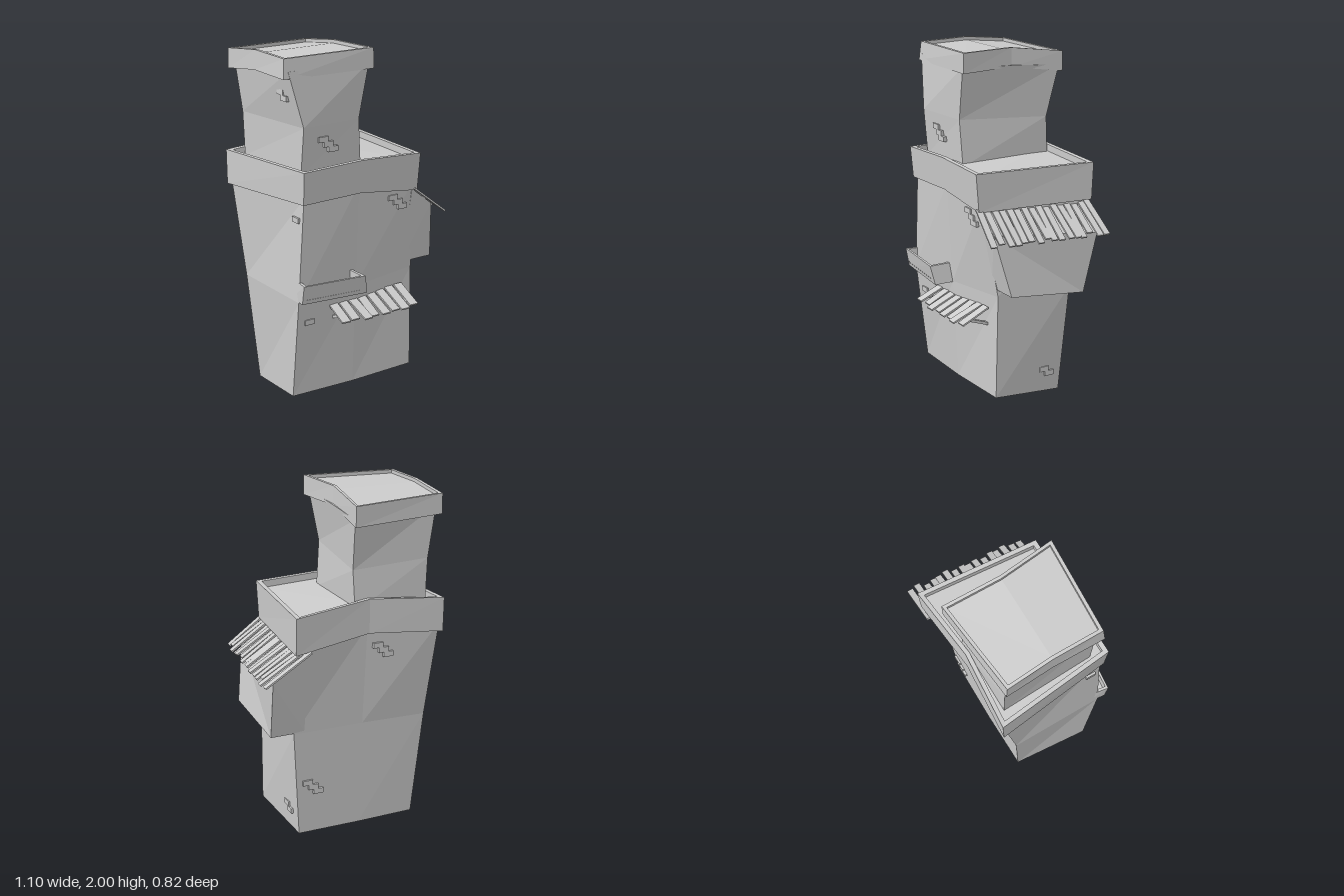
import * as THREE from 'three';

const mat = new THREE.MeshStandardMaterial({ color: 0xcccccc, flatShading: true });

// Closed skin over rings of [x, y, z]; each ring runs counterclockwise seen from the end it grows towards
function loft(name, rings) {
  const pos = [], n = rings[0].length;
  const tri = (a, b, c) => pos.push(...a, ...b, ...c);
  for (let i = 0; i < rings.length - 1; i++) {
    for (let j = 0; j < n; j++) {
      const k = (j + 1) % n, lo = rings[i], hi = rings[i + 1];
      tri(lo[j], lo[k], hi[k]);
      tri(lo[j], hi[k], hi[j]);
    }
  }
  const first = rings[0], last = rings[rings.length - 1];
  for (let j = 1; j < n - 1; j++) {
    tri(first[0], first[j + 1], first[j]);
    tri(last[0], last[j], last[j + 1]);
  }
  const geo = new THREE.BufferGeometry();
  geo.setAttribute('position', new THREE.Float32BufferAttribute(pos, 3));
  geo.computeVertexNormals();
  const mesh = new THREE.Mesh(geo, mat);
  mesh.name = name;
  return mesh;
}

// Ring pulled inwards by d in x and z, and shifted by dy
function inset(ring, d, dy = 0) {
  const xs = ring.map(p => p[0]), zs = ring.map(p => p[2]);
  const x0 = Math.min(...xs), x1 = Math.max(...xs), z0 = Math.min(...zs), z1 = Math.max(...zs);
  const cx = (x0 + x1) / 2, cz = (z0 + z1) / 2;
  const sx = 1 - 2 * d / (x1 - x0), sz = 1 - 2 * d / (z1 - z0);
  return ring.map(([x, y, z]) => [cx + (x - cx) * sx, y + dy, cz + (z - cz) * sz]);
}

// Hollow-topped tray or parapet
const tray = (name, bottom, top, wall, depth) =>
  loft(name, [bottom, top, inset(top, wall), inset(top, wall, -depth)]);

// Flat board from a to b
function plank(name, a, b, width, thick) {
  const from = new THREE.Vector3(...a), to = new THREE.Vector3(...b);
  const mesh = new THREE.Mesh(new THREE.BoxGeometry(width, thick, from.distanceTo(to)), mat);
  mesh.position.copy(from).add(to).multiplyScalar(0.5);
  mesh.lookAt(to);
  mesh.name = name;
  return mesh;
}

// Staggered patch of raised bricks; turn swings it to face another side
function bricks(x, y, z, turn, count) {
  const g = new THREE.Group();
  g.name = 'brickPatch';
  [[0, 0], [-0.035, 0.03], [0.03, -0.03]].slice(0, count).forEach(([dx, dy]) => {
    const b = new THREE.Mesh(new THREE.BoxGeometry(0.06, 0.03, 0.025), mat);
    b.position.set(dx, dy, 0);
    b.name = 'brick';
    g.add(b);
  });
  g.position.set(x, y, z);
  g.rotation.y = turn;
  return g;
}

export function createModel() {
  const model = new THREE.Group();
  model.name = 'crookedTower';

  // Main body: back middle, back right, front right, front middle, front left, back left
  model.add(loft('body', [
    [[-0.1, 0.005, -0.235], [-0.45, 0.005, -0.23], [-0.5, 0.055, 0.22], [-0.1, 0.055, 0.23], [0.32, 0.06, 0.22], [0.28, 0.005, -0.23]],
    [[-0.1, 0.65, -0.275], [-0.5, 0.64, -0.275], [-0.5, 0.64, 0.29], [-0.1, 0.65, 0.26], [0.325, 0.67, 0.21], [0.325, 0.65, -0.27]],
    [[-0.1, 1.25, -0.33], [-0.535, 1.22, -0.365], [-0.46, 1.23, 0.29], [-0.1, 1.25, 0.29], [0.28, 1.22, 0.29], [0.33, 1.2, -0.365]],
  ]));

  // Jutting bay on the left side
  model.add(loft('sideBay', [
    [[0.26, 0.655, -0.27], [0.465, 0.655, -0.27], [0.48, 1.0, -0.348], [0.28, 1.17, -0.36]],
    [[0.26, 0.71, 0.212], [0.468, 0.71, 0.208], [0.41, 1.06, 0.288], [0.27, 1.17, 0.288]],
  ]));

  // Parapet around the main roof
  model.add(tray('mainParapet',
    [[-0.1, 1.215, -0.355], [-0.55, 1.175, -0.385], [-0.475, 1.2, 0.31], [-0.1, 1.21, 0.31], [0.29, 1.165, 0.31], [0.36, 1.16, -0.39]],
    [[-0.1, 1.415, -0.358], [-0.55, 1.375, -0.39], [-0.48, 1.385, 0.325], [-0.1, 1.4, 0.325], [0.295, 1.385, 0.33], [0.36, 1.375, -0.4]],
    0.028, 0.04));

  // Upper turret with pinched waist
  model.add(loft('turret', [
    [[-0.46, 1.34, -0.33], [-0.44, 1.34, 0.23], [-0.04, 1.34, 0.22], [-0.02, 1.34, -0.335]],
    [[-0.47, 1.6, -0.33], [-0.435, 1.61, 0.255], [-0.06, 1.61, 0.23], [-0.012, 1.58, -0.32]],
    [[-0.51, 1.9, -0.34], [-0.51, 1.92, 0.225], [0.0, 1.92, 0.24], [0.01, 1.88, -0.39]],
  ]));

  // Turret parapet, bent down towards the back
  model.add(tray('turretParapet',
    [[-0.535, 1.885, -0.08], [-0.54, 1.88, 0.225], [0.025, 1.885, 0.25], [-0.005, 1.89, -0.08], [0.015, 1.84, -0.41], [-0.54, 1.85, -0.36]],
    [[-0.53, 1.995, -0.08], [-0.53, 1.99, 0.215], [0.025, 2.0, 0.248], [-0.008, 2.0, -0.08], [0.015, 1.957, -0.412], [-0.54, 1.965, -0.355]],
    0.02, 0.02));

  // Side awning of uneven planks
  const awning = new THREE.Group();
  awning.name = 'sideAwning';
  const tips = [0.54, 0.55, 0.515, 0.53, 0.53, 0.535, 0.515, 0.515, 0.5, 0.51, 0.49, 0.5, 0.495, 0.5, 0.475, 0.475];
  tips.forEach((x, i) => {
    const z = -0.37 + i * 0.0457;
    const drop = 1.0 + (0.54 - x) * 0.25 + (i % 3) * 0.006;
    awning.add(plank('awningPlank', [0.27, 1.17 + (i % 2) * 0.008, z - 0.015], [x, drop, z + 0.004 * (i % 4 - 1)], 0.037, 0.01));
  });
  model.add(awning);

  // Small front awning on two struts
  const frontAwning = new THREE.Group();
  frontAwning.name = 'frontAwning';
  [0.4, 0.385, 0.41, 0.39, 0.4, 0.39, 0.41, 0.39].forEach((z, i) => {
    const x = -0.25 + i * 0.067, sag = 0.008 * Math.sin(i / 7 * Math.PI);
    frontAwning.add(plank('awningPlank', [x, 0.585 - sag, 0.225], [x + 0.006 * (i % 3 - 1), 0.508 - sag, z], 0.055, 0.01));
  });
  for (const x of [-0.24, 0.21]) {
    frontAwning.add(plank('awningStrut', [x, 0.475, 0.2], [x, 0.525, 0.34], 0.028, 0.016));
  }
  model.add(frontAwning);

  // Flared balcony on the front
  model.add(tray('balcony',
    [[-0.49, 0.645, 0.2], [-0.505, 0.645, 0.335], [-0.1, 0.645, 0.375], [-0.1, 0.645, 0.2]],
    [[-0.48, 0.755, 0.2], [-0.505, 0.755, 0.355], [-0.125, 0.755, 0.395], [-0.125, 0.755, 0.2]],
    0.018, 0.085));

  // Raised bricks: front, left side, back, right side
  model.add(
    bricks(0.17, 1.11, 0.282, 0, 3),
    bricks(-0.42, 0.505, 0.265, 0, 1),
    bricks(-0.27, 1.5, 0.238, 0, 3),
    bricks(0.295, 0.13, -0.15, Math.PI / 2, 2),
    bricks(0.2, 0.3, -0.252, Math.PI, 3),
    bricks(-0.2, 1.1, -0.328, Math.PI, 3),
    bricks(-0.468, 1.1, 0.23, -Math.PI / 2, 1),
    bricks(-0.478, 1.76, 0.14, -Math.PI / 2, 2),
  );
  return model;
}
